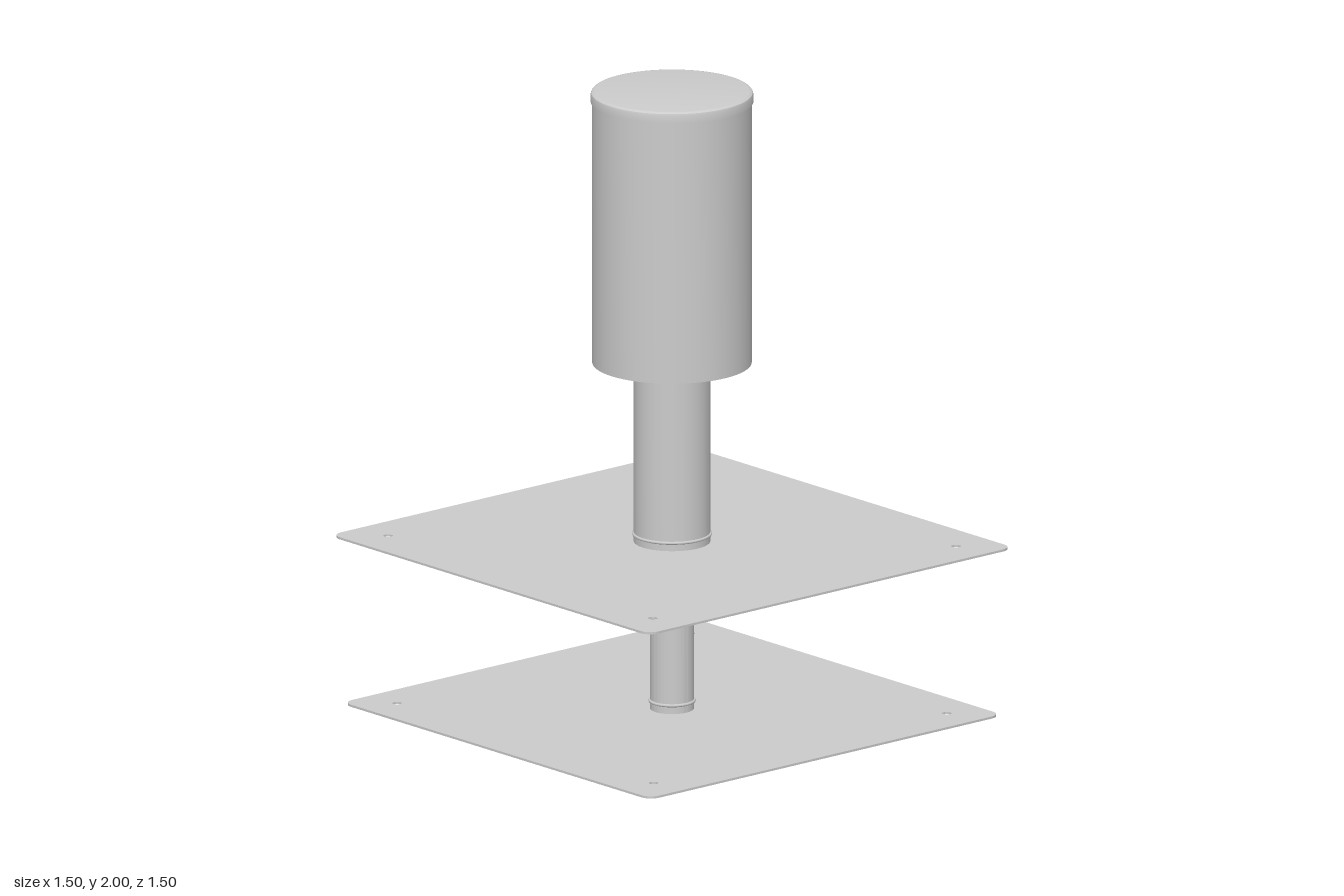
import * as THREE from 'three';
import { toCreasedNormals } from 'three/addons/utils/BufferGeometryUtils.js';

const SEGMENTS = 72;

export function createModel() {
  const model = new THREE.Group();
  model.name = 'roofVent';
  const material = new THREE.MeshStandardMaterial({ color: 0xcccccc, side: THREE.DoubleSide });

  function add(name, geometry, y = 0) {
    const mesh = new THREE.Mesh(geometry, material);
    mesh.name = name;
    mesh.position.y = y;
    model.add(mesh);
  }

  // Revolved profile with crisp corners
  function revolve(name, profile) {
    const points = profile.map(([r, y]) => new THREE.Vector2(r, y));
    add(name, toCreasedNormals(new THREE.LatheGeometry(points, SEGMENTS), 0.6));
  }

  // Hollow pipe, open at both ends
  function pipe(name, radius, bottom, top, wall = 0.004) {
    const inner = radius - wall;
    revolve(name, [[radius, bottom], [radius, top], [inner, top], [inner, bottom], [radius, bottom]]);
  }

  // Rounded square sheet with a pipe opening and four corner screw holes
  function plate(name, half, bottom, opening, holeOffset) {
    const thickness = 0.007, c = 0.04, k = half - c;
    const shape = new THREE.Shape();
    [[k, k], [-k, k], [-k, -k], [k, -k]].forEach(([x, y], i) => {
      shape.absarc(x, y, c, i * Math.PI / 2, (i + 1) * Math.PI / 2, false);
    });
    shape.closePath();
    const hole = (x, y, r) => shape.holes.push(new THREE.Path().absarc(x, y, r, 0, Math.PI * 2, true));
    hole(0, 0, opening);
    for (const x of [-1, 1]) for (const y of [-1, 1]) hole(x * holeOffset, y * holeOffset, 0.014);
    const geometry = new THREE.ExtrudeGeometry(shape, { depth: thickness, bevelEnabled: false, curveSegments: 24 });
    geometry.rotateX(-Math.PI / 2);
    add(name, toCreasedNormals(geometry, 0.6), bottom);
  }

  // Thin clamp band around a pipe
  function band(name, radius, y) {
    const geometry = new THREE.TorusGeometry(radius, 0.005, 8, SEGMENTS);
    geometry.rotateX(Math.PI / 2);
    add(name, geometry, y);
  }

  // Lower base plate and its pipe
  plate('lowerPlate', 0.725, 0, 0.066, 0.605);
  pipe('lowerPipe', 0.068, 0, 0.58);
  band('lowerClampBand', 0.069, 0.034);

  // Upper flashing plate, sleeve below it and riser above it
  plate('upperPlate', 0.75, 0.54, 0.096, 0.625);
  pipe('sleeve', 0.098, 0.398, 0.6);
  pipe('riserPipe', 0.119, 0.545, 1.75);
  band('upperClampBand', 0.12, 0.573);

  // Hood shell open at the bottom, closed by a lipped lid
  pipe('hood', 0.248, 1.124, 1.988);
  revolve('lid', [
    [0.244, 1.988], [0.248, 1.966], [0.253, 1.966], [0.253, 1.988],
    [0.251, 1.995], [0.246, 1.999], [0.24, 2], [0, 2],
  ]);
  revolve('lidUnderside', [[0, 1.992], [0.246, 1.992]]);

  return model;
}
